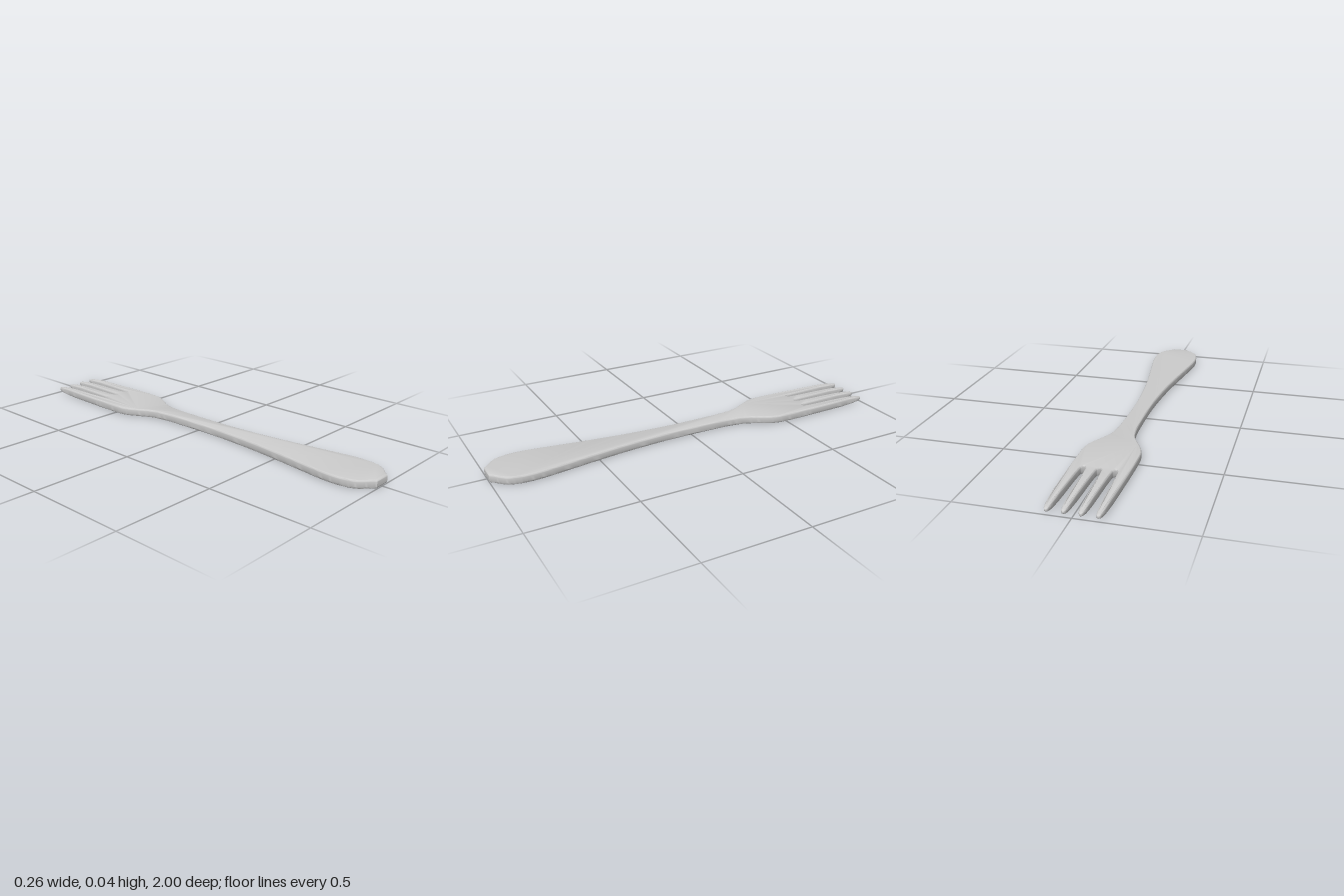
import * as THREE from 'three';
import { toCreasedNormals } from 'three/addons/utils/BufferGeometryUtils.js';

const THICK = 0.039, BEVEL = 0.006, BEVEL_H = 0.009;

// Right half of a tine tip rising from a slot: [half width, distance along the fork]
const TINE = [[0.022, 0.68], [0.017, 0.85], [0.0135, 0.95], [0.011, 0.98], [0.0075, 0.994]];

function tineTip(centre, outerSide) {
  const right = outerSide.map(([w, y]) => [centre + w, y]);
  const left = TINE.map(([w, y]) => [centre - w, y]).reverse();
  return [...right, [centre, 1], ...left];
}

function forkOutline() {
  // Handle, neck and shoulder, from the butt up to the tines
  const side = [
    [0.04, -0.995], [0.07, -0.97], [0.1, -0.937], [0.115, -0.89], [0.12, -0.84], [0.117, -0.78],
    [0.1, -0.66], [0.078, -0.51], [0.059, -0.36], [0.046, -0.2], [0.041, -0.08],
    [0.041, 0.1], [0.046, 0.22], [0.06, 0.3], [0.09, 0.36], [0.118, 0.415],
    [0.13, 0.46], [0.132, 0.52], [0.131, 0.62],
  ];
  const outer = [[0.024, 0.7], [0.0195, 0.85], [0.0145, 0.95], [0.011, 0.98], [0.0075, 0.994]];
  const half = [
    ...side,
    ...tineTip(0.105, outer),
    [0.079, 0.65], [0.07, 0.64], [0.061, 0.65],
    ...tineTip(0.035, TINE),
    [0.009, 0.65], [0, 0.64],
  ];
  const curve = new THREE.CatmullRomCurve3(half.map(([x, y]) => new THREE.Vector3(x, y, 0)));
  const right = curve.getPoints((half.length - 1) * 5).map((p) => new THREE.Vector2(p.x, p.y));
  const left = right.slice(0, -1).reverse().map((p) => new THREE.Vector2(-p.x, p.y));
  return new THREE.Shape([...right, ...left]);
}

export function createModel() {
  const group = new THREE.Group();
  group.name = 'fork';

  const geo = new THREE.ExtrudeGeometry(forkOutline(), {
    depth: THICK - 2 * BEVEL_H,
    bevelThickness: BEVEL_H,
    bevelSize: BEVEL,
    bevelOffset: -BEVEL,
    bevelSegments: 4,
  });
  geo.translate(0, 0, BEVEL_H);
  geo.rotateX(-Math.PI / 2);

  // Thin the tine ends toward the tips
  const pos = geo.attributes.position;
  for (let i = 0; i < pos.count; i++) {
    const t = THREE.MathUtils.clamp((-pos.getZ(i) - 0.84) / 0.16, 0, 1);
    const s = Math.sqrt(1 - 0.88 * t * t);
    pos.setY(i, THICK / 2 + (pos.getY(i) - THICK / 2) * s);
  }
  // Butt end is slightly short of full length, so level it
  for (let i = 0; i < pos.count; i++) {
    if (pos.getZ(i) > 0.98) pos.setZ(i, 0.98 + (pos.getZ(i) - 0.98) * (0.02 / 0.015));
  }

  const mesh = new THREE.Mesh(
    toCreasedNormals(geo, 0.7),
    new THREE.MeshStandardMaterial({ color: 0xcccccc })
  );
  mesh.name = 'forkBody';
  group.add(mesh);
  return group;
}
